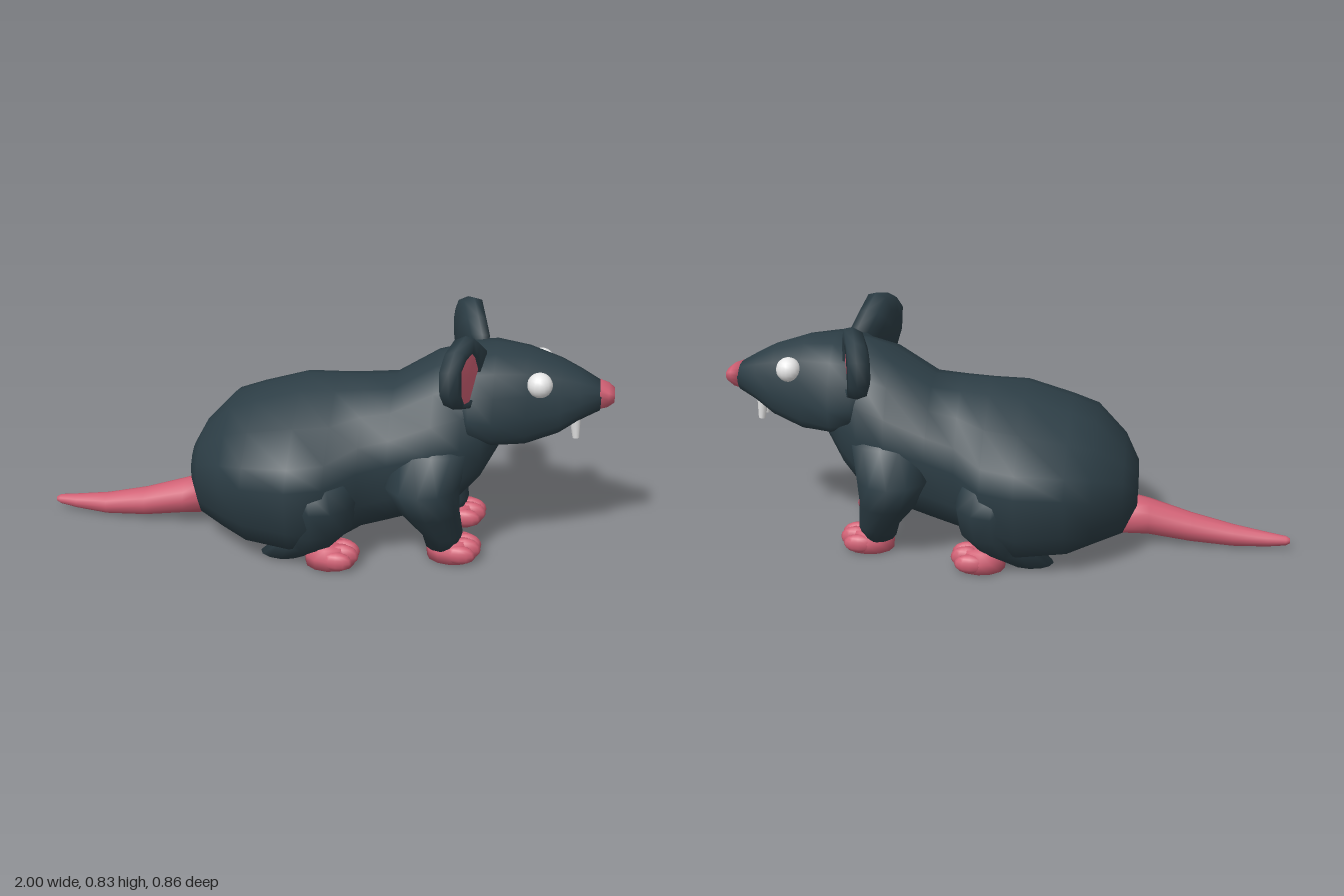
import * as THREE from 'three';

const mat = (name, color) => {
  const m = new THREE.MeshStandardMaterial({ color });
  m.name = name;
  return m;
};

// Skin a list of closed rings of [x, y, z], with both ends capped.
function loft(rings) {
  const n = rings[0].length, pos = rings.flat(2), idx = [];
  for (let r = 0; r < rings.length - 1; r++) {
    for (let i = 0; i < n; i++) {
      const a = r * n + i, b = r * n + (i + 1) % n;
      idx.push(a, b, a + n, b, b + n, a + n);
    }
  }
  const cap = (r, flip) => {
    const c = pos.length / 3;
    for (let k = 0; k < 3; k++) pos.push(rings[r].reduce((s, p) => s + p[k], 0) / n);
    for (let i = 0; i < n; i++) {
      const a = r * n + i, b = r * n + (i + 1) % n;
      if (flip) idx.push(c, b, a); else idx.push(c, a, b);
    }
  };
  cap(0, true);
  cap(rings.length - 1, false);
  // Turn the faces outward when the enclosed volume is negative.
  let vol = 0;
  const v = i => new THREE.Vector3().fromArray(pos, i * 3);
  for (let i = 0; i < idx.length; i += 3) vol += v(idx[i]).dot(v(idx[i + 1]).cross(v(idx[i + 2])));
  if (vol < 0) idx.reverse();
  const g = new THREE.BufferGeometry();
  g.setAttribute('position', new THREE.Float32BufferAttribute(pos, 3));
  g.setIndex(idx);
  g.computeVertexNormals();
  return g;
}

// Cross-section at x: top, bottom, height of the widest point, half width,
// and the roundness of the upper and lower halves (below 1 is boxy, 2 is a diamond).
function section([x, top, bot, mid, w, up = 1, low = up], n = 16) {
  return Array.from({ length: n }, (_, i) => {
    const a = i / n * Math.PI * 2, c = Math.cos(a), s = Math.sin(a), p = s > 0 ? up : low;
    const h = Math.sign(s) * Math.abs(s) ** p;
    return [x, mid + h * (s > 0 ? top - mid : mid - bot), w * Math.sign(c) * Math.abs(c) ** p];
  });
}

// Horizontal cross-section used by the legs and paws.
const slab = ([y, x, z, rx, rz], side, n = 12) => Array.from({ length: n }, (_, i) => {
  const a = i / n * Math.PI * 2;
  return [x + rx * Math.cos(a), y, side * (z + rz * Math.sin(a))];
});

export function createModel() {
  const fur = mat('dark fur', 0x2c3d45);
  const pink = mat('pink skin', 0xd06074);
  const white = mat('white', 0xe8e8e8);
  const model = new THREE.Group();
  model.name = 'rat';

  const add = (name, geo, material, parent = model) => {
    const m = new THREE.Mesh(geo, material);
    m.name = name;
    parent.add(m);
    return m;
  };

  // Body from rump to neck
  add('body', loft([
    [-0.458, 0.31, 0.15, 0.23, 0.09, 1],
    [-0.41, 0.40, 0.06, 0.25, 0.21, 1, 0.9],
    [-0.31, 0.51, 0.03, 0.28, 0.32, 1.2, 0.9],
    [-0.22, 0.545, 0.004, 0.31, 0.38, 1.35, 0.8],
    [-0.06, 0.597, 0.001, 0.33, 0.43, 1.45, 0.75],
    [0.06, 0.602, 0.02, 0.33, 0.385, 1.4, 0.8],
    [0.16, 0.605, 0.07, 0.35, 0.28, 1.15, 0.8],
    [0.26, 0.612, 0.10, 0.38, 0.265, 1.1, 0.8],
    [0.40, 0.705, 0.15, 0.42, 0.265, 1.1, 0.8],
    [0.50, 0.735, 0.21, 0.44, 0.235, 1.05, 0.75],
    [0.565, 0.74, 0.28, 0.47, 0.19, 1, 0.8],
    [0.63, 0.72, 0.41, 0.55, 0.16, 1, 0.8],
  ].map(r => section(r))), fur);

  // Head and muzzle
  add('head', loft([
    [0.44, 0.70, 0.50, 0.58, 0.15],
    [0.52, 0.735, 0.455, 0.54, 0.222, 0.9, 0.6],
    [0.60, 0.75, 0.42, 0.53, 0.213, 0.95, 0.65],
    [0.71, 0.738, 0.412, 0.54, 0.165, 1, 0.7],
    [0.82, 0.702, 0.45, 0.55, 0.12, 1, 0.75],
    [0.885, 0.668, 0.493, 0.57, 0.088, 0.95, 0.8],
    [0.955, 0.625, 0.527, 0.59, 0.057, 0.8, 1],
  ].map(r => section(r))), fur);

  // Nose, wider at the top
  add('nose', loft([
    [0.95, 0.628, 0.528, 0.596, 0.058, 0.75, 1.2],
    [0.98, 0.617, 0.538, 0.593, 0.054, 0.75, 1.2],
    [1.0, 0.602, 0.556, 0.588, 0.042, 0.8, 1.2],
  ].map(r => section(r))), pink);

  // Tail
  add('tail', loft([
    [-0.41, 0.115, 0, 0.075], [-0.5, 0.1, 0.01, 0.065], [-0.65, 0.065, 0.01, 0.052],
    [-0.8, 0.042, 0.005, 0.039], [-0.92, 0.036, -0.005, 0.026],
    [-0.985, 0.036, -0.01, 0.017], [-1, 0.036, -0.01, 0.009],
  ].map(([x, y, z, r]) => section([x, y + r, y - r, y, r], 12).map(p => [p[0], p[1], p[2] + z]))), pink);

  // Ear outlines as [distance from the middle, height]
  const rim = [[0.07, 0.745], [0.135, 0.79], [0.205, 0.835], [0.295, 0.81], [0.345, 0.755],
    [0.333, 0.665], [0.29, 0.61], [0.215, 0.583], [0.14, 0.61], [0.09, 0.67]];
  const cup = [[0.148, 0.705], [0.178, 0.752], [0.215, 0.782], [0.275, 0.775], [0.312, 0.75],
    [0.305, 0.665], [0.275, 0.622], [0.215, 0.612], [0.175, 0.635], [0.15, 0.675]];
  const earRing = (outline, scale, depth, side) => outline.map(([z, y]) => {
    const zz = 0.225 + (z - 0.225) * scale, yy = 0.70 + (y - 0.70) * scale;
    return [0.565 - 0.3 * zz + depth, yy, side * zz];
  });

  for (const side of [1, -1]) {
    const tag = side > 0 ? 'right' : 'left';

    // Ear shell and its pink inside
    add(tag + 'Ear', loft([
      earRing(rim, 0.5, -0.05, side), earRing(rim, 0.88, -0.035, side),
      earRing(rim, 1, 0, side), earRing(rim, 0.95, 0.028, side),
      earRing(cup, 1.04, 0.032, side), earRing(cup, 0.98, 0.014, side),
    ]), fur);
    add(tag + 'EarInside', loft([earRing(cup, 1.01, 0.016, side), earRing(cup, 1.01, 0.024, side)]), pink);

    // Eye and front tooth
    const eye = add(tag + 'Eye', new THREE.SphereGeometry(1, 16, 12), white);
    eye.scale.set(0.043, 0.043, 0.04);
    eye.position.set(0.75, 0.648, side * 0.124);
    const tooth = add(tag + 'Tooth', new THREE.CylinderGeometry(0.021, 0.012, 0.085, 10), white);
    tooth.position.set(0.877, 0.473, side * 0.03);
    tooth.rotation.z = 0.1;

    // Front leg with shoulder
    add(tag + 'FrontLeg', loft([
      [0.52, 0.43, 0.09, 0.07, 0.06], [0.42, 0.41, 0.165, 0.125, 0.105],
      [0.31, 0.375, 0.222, 0.13, 0.138], [0.20, 0.40, 0.185, 0.105, 0.118],
      [0.10, 0.445, 0.15, 0.072, 0.09], [0.05, 0.445, 0.145, 0.058, 0.07],
    ].map(r => slab(r, side))), fur);

    // Haunch
    add(tag + 'Haunch', loft([
      [0.40, -0.03, 0.19, 0.09, 0.09], [0.32, 0.01, 0.255, 0.13, 0.135],
      [0.24, 0.02, 0.26, 0.14, 0.14], [0.14, 0.015, 0.25, 0.13, 0.12],
      [0.07, -0.02, 0.245, 0.10, 0.085], [0.01, -0.10, 0.22, 0.08, 0.06],
    ].map(r => slab(r, side))), fur);

    // Paws: a pad and four toes
    for (const [name, x, z] of [['FrontPaw', 0.48, 0.145], ['HindPaw', 0.07, 0.262]]) {
      const paw = new THREE.Group();
      paw.name = tag + name;
      model.add(paw);
      add('pad', loft([
        [0.003, x, z, 0.085, 0.072], [0.04, x, z, 0.088, 0.075], [0.075, x - 0.01, z, 0.065, 0.06],
      ].map(r => slab(r, side))), pink, paw);
      [-0.055, -0.019, 0.019, 0.055].forEach((dz, i) => {
        const mid = i === 1 || i === 2;
        const toe = add('toe', new THREE.SphereGeometry(1, 12, 8), pink, paw);
        toe.scale.set(0.055, mid ? 0.04 : 0.034, 0.025);
        toe.position.set(x + (mid ? 0.047 : 0.03), mid ? 0.043 : 0.036, side * (z + dz));
      });
    }
  }
  return model;
}
